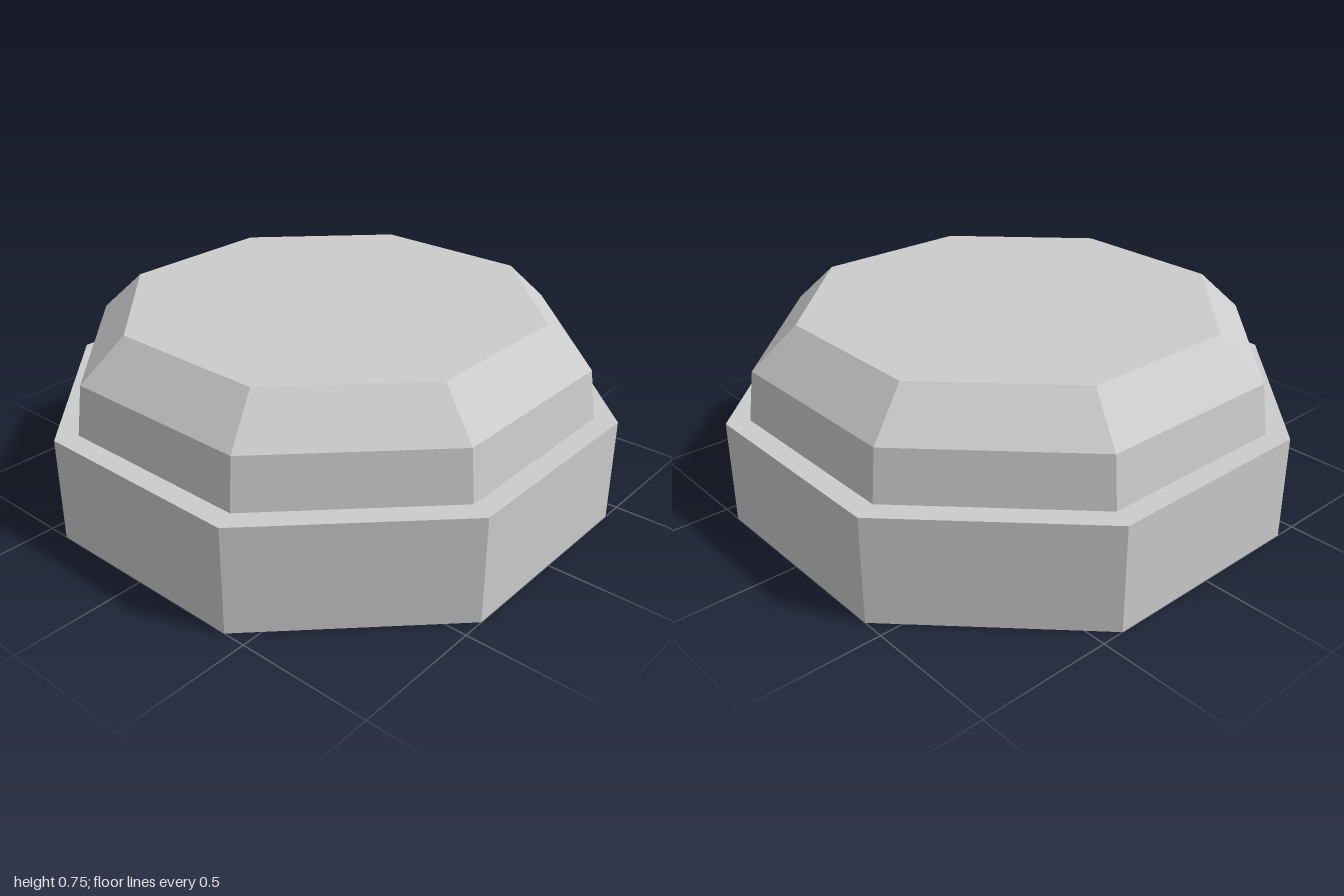
import * as THREE from 'three';

const SIDES = 8;
const material = new THREE.MeshStandardMaterial({ color: 0xcccccc, flatShading: true });

// Octagonal solid from [flat-to-centre distance, height] pairs, bottom to top, flats facing the axes
function octagonal(name, profile) {
  const toCorner = 1 / Math.cos(Math.PI / SIDES);
  const points = profile.map(([r, y]) => new THREE.Vector2(r * toCorner, y));
  const mesh = new THREE.Mesh(new THREE.LatheGeometry(points, SIDES, Math.PI / SIDES), material);
  mesh.name = name;
  return mesh;
}

export function createModel() {
  const model = new THREE.Group();
  model.name = 'octagonalButton';

  // Straight-sided base block, closed below and above
  model.add(octagonal('base', [[0, 0], [1, 0], [1, 0.4], [0, 0.4]]));

  // Slightly tapered cap with a wide bevel and a flat top
  model.add(octagonal('cap', [[0.92, 0.4], [0.897, 0.59], [0.742, 0.745], [0, 0.745]]));

  return model;
}
